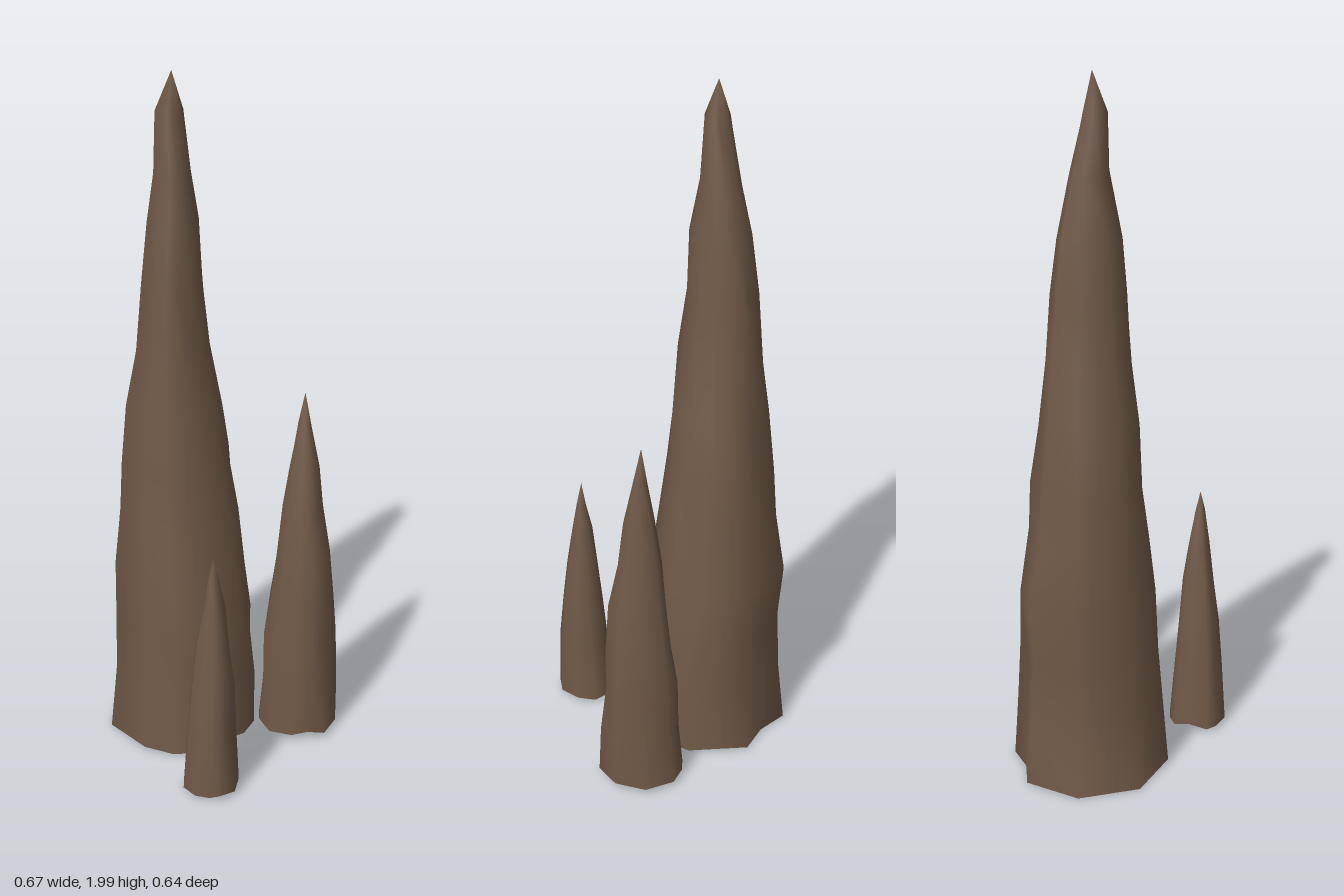
import * as THREE from 'three';

// small seeded generator for the rocky unevenness
function seeded(seed) {
  let s = seed;
  return () => {
    s = (s * 16807) % 2147483647;
    return s / 2147483647 - 0.5;
  };
}

// Lofts a spire from a base outline [x, z] through rings [y, xMin, xMax, zMin, zMax] to a tip
function spire(name, material, seed, outline, rings, tip) {
  const rand = seeded(seed);
  const xs = outline.map(p => p[0]), zs = outline.map(p => p[1]);
  const span = a => [(Math.max(...a) + Math.min(...a)) / 2, (Math.max(...a) - Math.min(...a)) / 2];
  const [cx, rx] = span(xs), [cz, rz] = span(zs);
  const n = outline.length;
  const pos = [], index = [];

  rings.forEach(([y, x0, x1, z0, z1], k) => {
    for (const [px, pz] of outline) {
      const ux = (px - cx) / rx, uz = (pz - cz) / rz;
      // upper rings fade from the base outline towards a circle, then get rough
      const len = Math.hypot(ux, uz), round = k === 0 ? 0 : 0.6;
      const f = (1 - round + round / len) * (k === 0 ? 1 : 1 + rand() * 0.09);
      const dy = k === 0 ? rand() * 0.014 : rand() * 0.03;
      pos.push((x0 + x1) / 2 + ux * f * (x1 - x0) / 2, y + dy, (z0 + z1) / 2 + uz * f * (z1 - z0) / 2);
    }
  });
  pos.push(...tip);

  const tipIndex = rings.length * n;
  for (let k = 0; k < rings.length; k++) {
    for (let i = 0; i < n; i++) {
      const a = k * n + i, b = k * n + (i + 1) % n;
      if (k === rings.length - 1) index.push(a, tipIndex, b);
      else index.push(a, a + n, b + n, a, b + n, b);
    }
  }

  const geometry = new THREE.BufferGeometry();
  geometry.setAttribute('position', new THREE.Float32BufferAttribute(pos, 3));
  geometry.setIndex(index);
  geometry.computeVertexNormals();
  const mesh = new THREE.Mesh(geometry, material);
  mesh.name = name;
  return mesh;
}

export function createModel() {
  const group = new THREE.Group();
  group.name = 'stalagmites';
  // shells are open underneath
  const rock = new THREE.MeshStandardMaterial({ color: 0x705947, side: THREE.DoubleSide });
  rock.name = 'brown rock';

  // tall spire
  group.add(spire('tallSpire', rock, 11, [
    [-0.34, -0.2], [-0.235, -0.325], [-0.14, -0.31], [-0.05, -0.325], [0.02, -0.27], [0.075, -0.2],
    [0.09, -0.1], [0.07, -0.03], [0.01, 0.02], [-0.04, 0.09], [-0.12, 0.11], [-0.21, 0.095], [-0.335, -0.02],
  ], [
    [0.015, -0.338, 0.09, -0.322, 0.11],
    [0.2, -0.33, 0.085, -0.312, 0.092],
    [0.37, -0.325, 0.075, -0.302, 0.078],
    [0.55, -0.322, 0.055, -0.312, 0.06],
    [0.72, -0.312, 0.03, -0.285, 0.042],
    [0.88, -0.302, 0.008, -0.277, 0.028],
    [1.05, -0.285, -0.015, -0.255, 0.013],
    [1.22, -0.248, -0.05, -0.238, -0.002],
    [1.4, -0.238, -0.064, -0.218, -0.017],
    [1.57, -0.218, -0.077, -0.2, -0.028],
    [1.73, -0.198, -0.096, -0.168, -0.06],
    [1.89, -0.188, -0.113, -0.132, -0.066],
  ], [-0.145, 2, -0.105]));

  // middle spire
  group.add(spire('middleSpire', rock, 29, [
    [0.1, -0.14], [0.14, -0.225], [0.175, -0.25], [0.225, -0.258], [0.305, -0.218], [0.335, -0.13],
    [0.31, -0.05], [0.26, -0.04], [0.215, -0.015], [0.145, -0.04], [0.105, -0.105],
  ], [
    [0.027, 0.1, 0.334, -0.257, -0.016],
    [0.17, 0.108, 0.33, -0.248, -0.025],
    [0.32, 0.117, 0.325, -0.24, -0.035],
    [0.45, 0.133, 0.32, -0.227, -0.042],
    [0.59, 0.149, 0.308, -0.212, -0.052],
    [0.74, 0.165, 0.281, -0.196, -0.075],
    [0.87, 0.184, 0.267, -0.178, -0.092],
    [0.99, 0.205, 0.243, -0.157, -0.12],
  ], [0.223, 1.09, -0.14]));

  // small spire
  group.add(spire('smallSpire', rock, 53, [
    [-0.065, 0.25], [-0.045, 0.2], [-0.015, 0.165], [0.02, 0.16], [0.06, 0.17], [0.09, 0.215],
    [0.088, 0.28], [0.05, 0.322], [0.02, 0.315], [-0.02, 0.32], [-0.06, 0.28],
  ], [
    [0.02, -0.065, 0.09, 0.162, 0.322],
    [0.2, -0.053, 0.086, 0.174, 0.317],
    [0.34, -0.042, 0.078, 0.185, 0.304],
    [0.47, -0.026, 0.066, 0.198, 0.288],
    [0.58, -0.009, 0.054, 0.212, 0.272],
    [0.68, 0.008, 0.036, 0.231, 0.259],
  ], [0.02, 0.745, 0.245]));

  return group;
}
